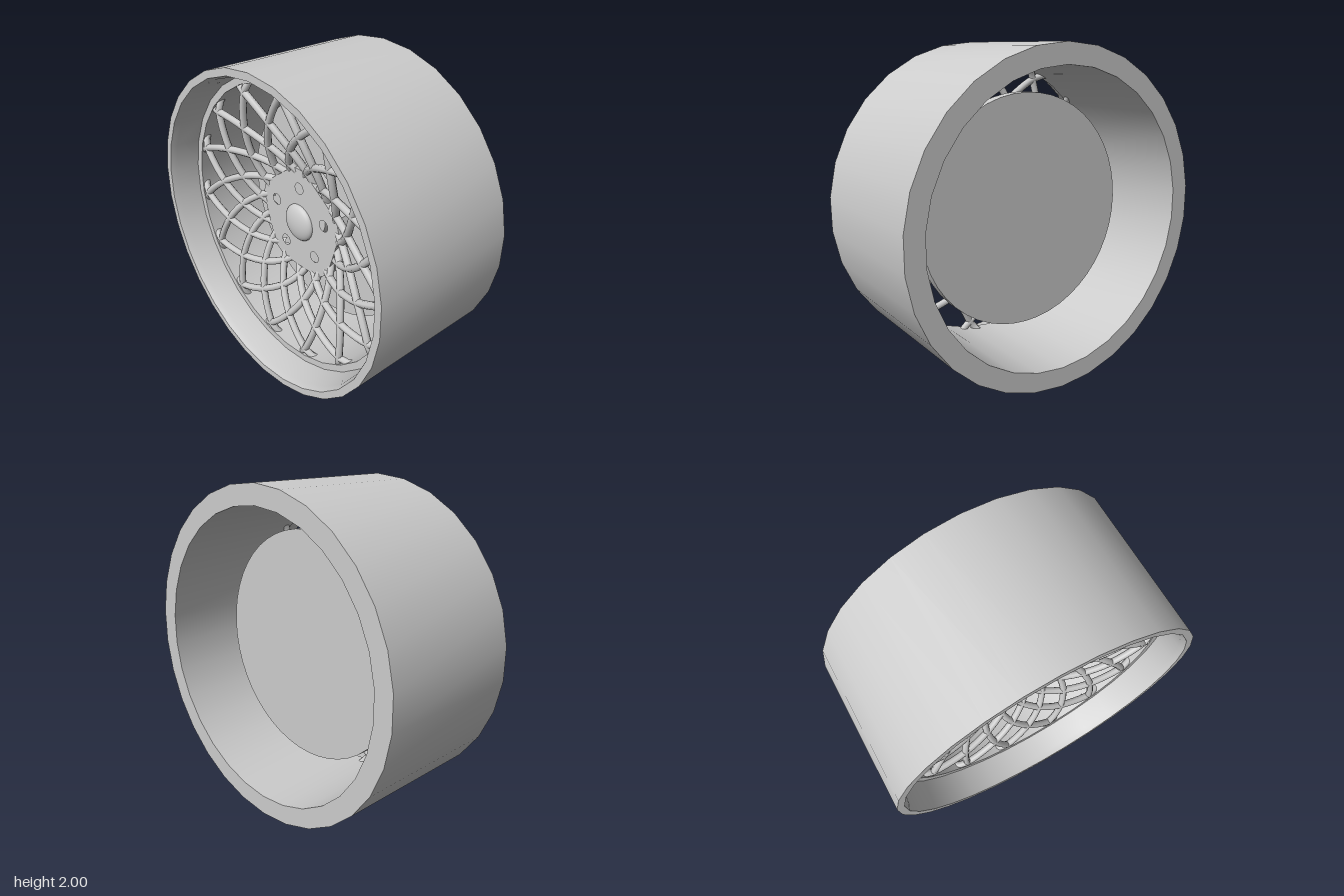
import * as THREE from 'three';
import { toCreasedNormals } from 'three/addons/utils/BufferGeometryUtils.js';

export function createModel() {
  const model = new THREE.Group();
  const metal = new THREE.MeshStandardMaterial({ color: 0xcccccc });
  metal.name = 'silver metal';

  // The wheel's axle runs along x, at height 1
  const wheel = new THREE.Group();
  wheel.name = 'wheel';
  wheel.position.y = 1;
  model.add(wheel);

  const add = (name, geometry, parent = wheel) => {
    const mesh = new THREE.Mesh(geometry, metal);
    mesh.name = name;
    parent.add(mesh);
    return mesh;
  };

  // Rim barrel: closed section of [radius, x], with a stepped lip at -x
  const section = [
    [1, -0.49], [1, 0.49], [0.88, 0.49], [0.88, -0.3],
    [0.925, -0.3], [0.94, -0.45], [0.955, -0.49], [1, -0.49],
  ].map(([r, x]) => new THREE.Vector2(r, x));
  const rim = new THREE.LatheGeometry(section, 30, Math.PI / 2).rotateZ(-Math.PI / 2);
  add('rim', toCreasedNormals(rim, 0.5));

  // Brake disc and the axle that carries it
  const disc = new THREE.CylinderGeometry(0.715, 0.715, 0.07, 48).rotateZ(-Math.PI / 2);
  add('brakeDisc', disc).position.x = 0.08;
  const axle = new THREE.CylinderGeometry(0.12, 0.12, 0.14, 24).rotateZ(-Math.PI / 2);
  add('axle', axle);

  // Five-cornered hub plate with blunt corners and a bolt hole in each
  const plate = new THREE.Shape();
  for (let i = 0; i < 10; i++) {
    const a = Math.floor(i / 2) * Math.PI * 0.4 + (i % 2 ? 0.14 : -0.14);
    plate[i ? 'lineTo' : 'moveTo'](0.36 * Math.sin(a), 0.36 * Math.cos(a));
  }
  plate.closePath();
  for (let i = 0; i < 5; i++) {
    const a = i * Math.PI * 0.4;
    const hole = new THREE.Path();
    hole.absarc(0.23 * Math.sin(a), 0.23 * Math.cos(a), 0.036, 0, Math.PI * 2, true);
    plate.holes.push(hole);
  }
  const hub = new THREE.ExtrudeGeometry(plate, { depth: 0.11, bevelEnabled: false, curveSegments: 10 });
  add('hubPlate', hub.rotateY(-Math.PI / 2)).position.x = -0.06;

  // Domed centre cap
  const cap = new THREE.SphereGeometry(0.12, 24, 8, 0, Math.PI * 2, 0, Math.PI / 2);
  cap.scale(1, 0.4, 1).rotateZ(Math.PI / 2);
  add('centreCap', cap).position.x = -0.17;

  // Crossed spokes: [radius, sweep in degrees, x] from rim to hub
  const path = [
    [0.91, -5, -0.24], [0.875, -2.8, -0.275], [0.835, 0, -0.285], [0.72, 7, -0.28],
    [0.6, 15.5, -0.26], [0.48, 26, -0.22], [0.38, 36, -0.175], [0.29, 47, -0.13],
  ];
  const spokes = new THREE.Group();
  spokes.name = 'spokes';
  wheel.add(spokes);
  for (const side of [1, -1]) {
    const curve = new THREE.CatmullRomCurve3(path.map(([r, deg, x]) => {
      const a = THREE.MathUtils.degToRad(deg) * side;
      return new THREE.Vector3(x, r * Math.cos(a), r * Math.sin(a));
    }));
    const geometry = new THREE.TubeGeometry(curve, 16, 0.023, 8);
    for (let i = 0; i < 15; i++) {
      add('spoke', geometry, spokes).rotation.x = (i / 15) * Math.PI * 2;
    }
  }

  return model;
}
